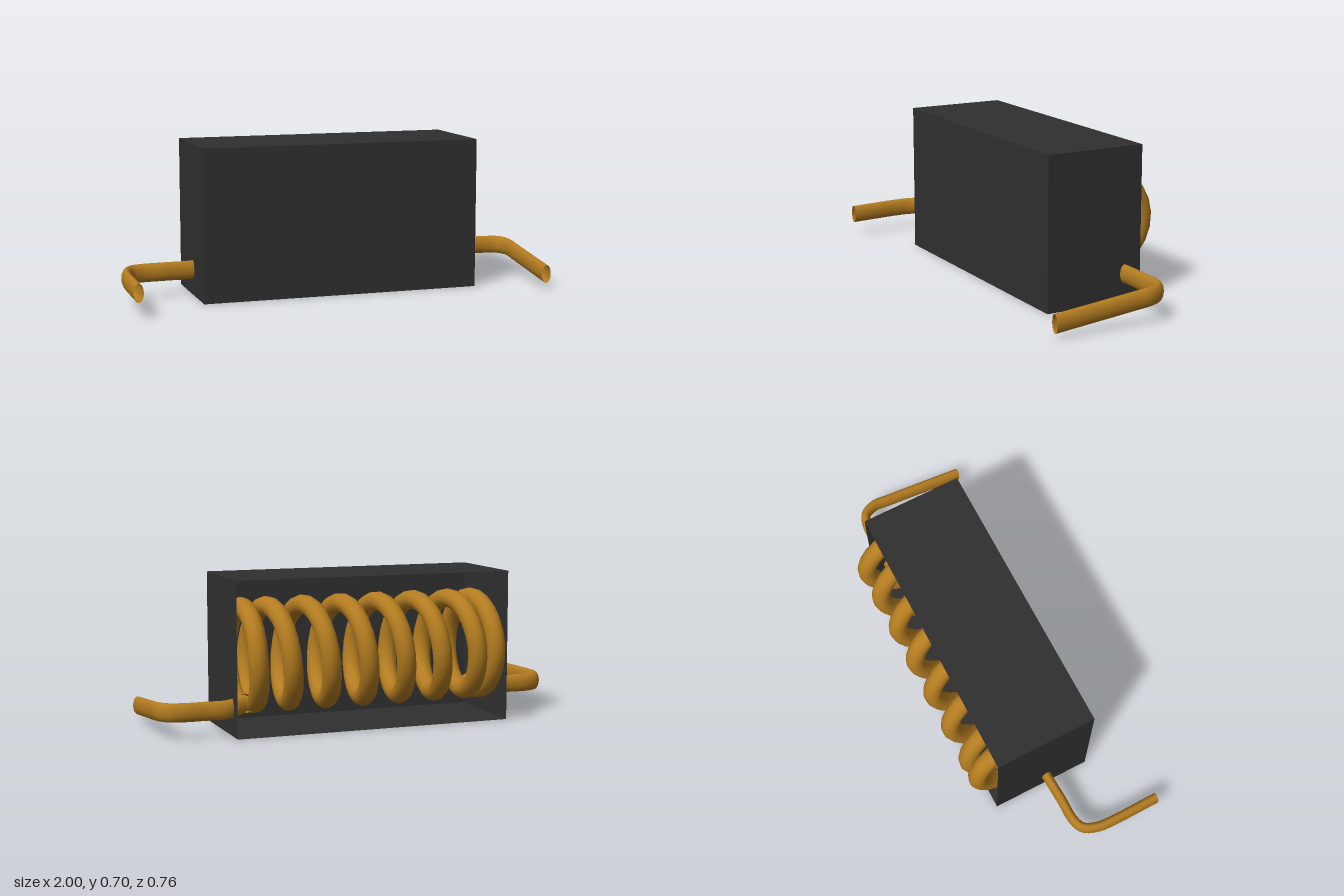
import * as THREE from 'three';

const copper = new THREE.MeshStandardMaterial({ color: 0xb37c20, side: THREE.DoubleSide });
const plastic = new THREE.MeshStandardMaterial({ color: 0x303030, side: THREE.DoubleSide });

// Helix about the x axis; the pitch tightens at both ends
const TURN_STOPS = [[-0.07, -0.56], [0.25, -0.56], [1.25, -0.467], [2.25, -0.29], [6.25, 0.425], [7.25, 0.58], [8.06, 0.6]];

class Helix extends THREE.Curve {
  getPoint(t, target = new THREE.Vector3()) {
    const first = TURN_STOPS[0][0], last = TURN_STOPS[TURN_STOPS.length - 1][0];
    const turn = THREE.MathUtils.lerp(first, last, t);
    let i = 1;
    while (i < TURN_STOPS.length - 1 && turn > TURN_STOPS[i][0]) i++;
    const [t0, x0] = TURN_STOPS[i - 1], [t1, x1] = TURN_STOPS[i];
    const x = THREE.MathUtils.mapLinear(turn, t0, t1, x0, x1);
    const a = turn * Math.PI * 2; // 0 = bottom, quarter turn = back
    return target.set(x, 0.345 - 0.217 * Math.cos(a), -0.12 - 0.217 * Math.sin(a));
  }
}

// Flattened wire: a round tube along a squashed path, stretched back in y
function flatWire(name, points) {
  const stretch = 1.9;
  const path = new THREE.CatmullRomCurve3(points.map(([x, y, z]) => new THREE.Vector3(x, y / stretch, z)));
  const geometry = new THREE.TubeGeometry(path, 48, 0.0225, 16);
  geometry.scale(1, stretch, 1);
  const mesh = new THREE.Mesh(geometry, copper);
  mesh.name = name;
  return mesh;
}

// Thin-walled casing, open at the back
function casing() {
  const group = new THREE.Group();
  group.name = 'casing';
  const w = 1.305, h = 0.696, d = 0.472;
  const wall = (name, pw, ph, pos, rx, ry) => {
    const mesh = new THREE.Mesh(new THREE.PlaneGeometry(pw, ph), plastic);
    mesh.name = name;
    mesh.position.set(...pos);
    mesh.rotation.set(rx, ry, 0);
    group.add(mesh);
  };
  const q = Math.PI / 2;
  wall('frontWall', w, h, [0, h / 2, d / 2], 0, 0);
  wall('topWall', w, d, [0, h, 0], -q, 0);
  wall('bottomWall', w, d, [0, 0, 0], q, 0);
  wall('leftWall', d, h, [w / 2, h / 2, 0], 0, q);
  wall('rightWall', d, h, [-w / 2, h / 2, 0], 0, -q);
  group.position.set(0.007, 0, -0.045);
  return group;
}

export function createModel() {
  const model = new THREE.Group();
  model.name = 'inductor';
  model.add(casing());

  const coil = new THREE.Mesh(new THREE.TubeGeometry(new Helix(), 196, 0.044, 14), copper);
  coil.name = 'coil';
  model.add(coil);

  // Leads leave the coil ends and bend forward
  model.add(flatWire('leftLead', [
    [0.6, 0.135, -0.18], [0.69, 0.122, -0.208], [0.78, 0.121, -0.206], [0.89, 0.121, -0.203],
    [0.945, 0.121, -0.183], [0.973, 0.118, -0.125], [0.972, 0.108, -0.04], [0.961, 0.066, 0.335],
  ]));
  model.add(flatWire('rightLead', [
    [-0.56, 0.14, -0.028], [-0.64, 0.121, -0.022], [-0.78, 0.119, -0.015], [-0.89, 0.118, -0.012],
    [-0.942, 0.118, 0.01], [-0.97, 0.117, 0.07], [-0.977, 0.116, 0.14], [-0.975, 0.11, 0.38],
  ]));
  return model;
}
